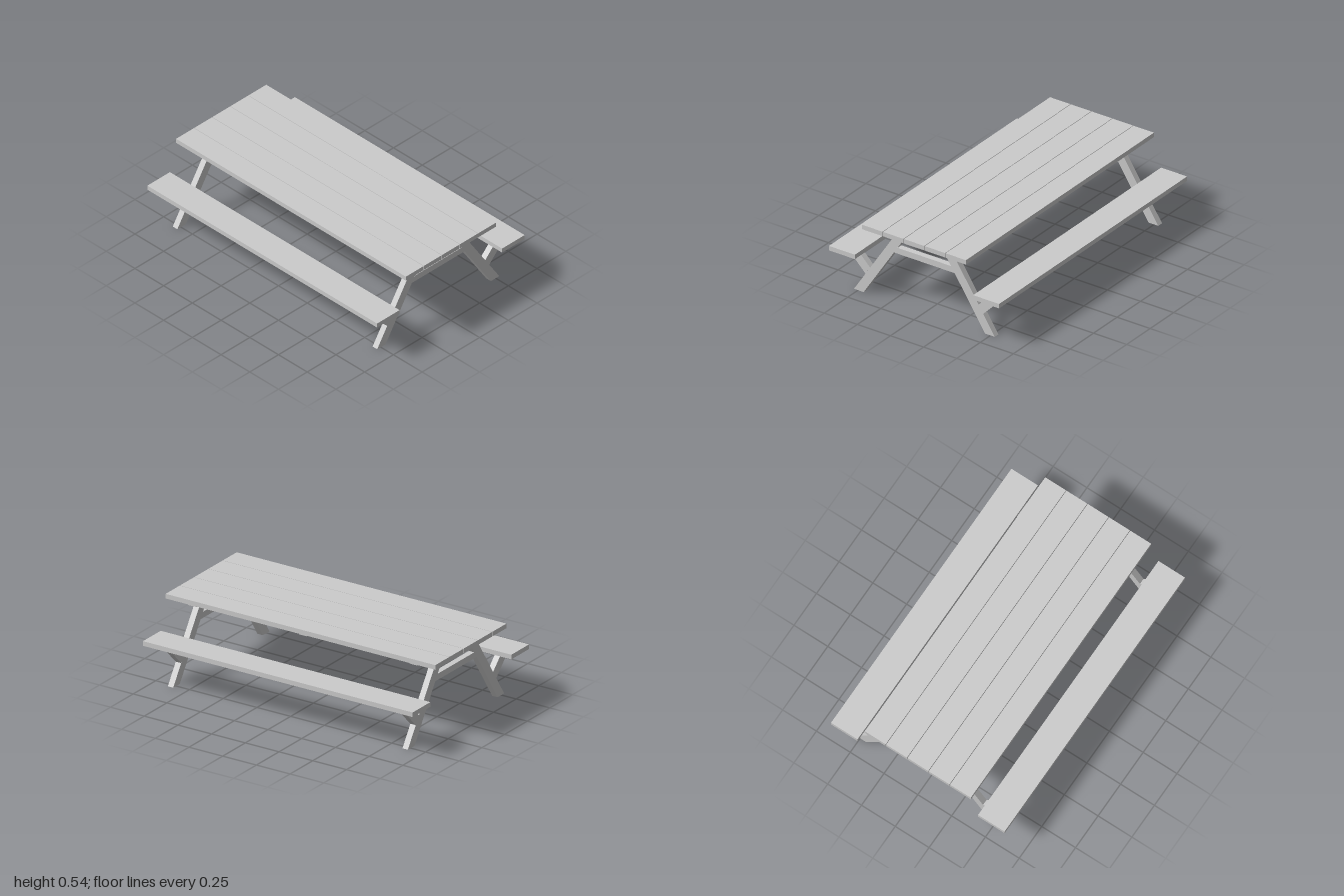
import * as THREE from 'three';

const material = new THREE.MeshStandardMaterial({ color: 0xcccccc, flatShading: true });

export function createModel() {
  const table = new THREE.Group();
  table.name = 'picnicTable';

  // Box board given by its extents
  function board(name, x0, x1, y0, y1, z0, z1, parent = table) {
    const mesh = new THREE.Mesh(new THREE.BoxGeometry(x1 - x0, y1 - y0, z1 - z0), material);
    mesh.position.set((x0 + x1) / 2, (y0 + y1) / 2, (z0 + z1) / 2);
    mesh.name = name;
    parent.add(mesh);
  }

  // Timber cut to a side outline of [z, y] corners, thickness along x
  function timber(name, outline, thickness, parent) {
    const shape = new THREE.Shape(outline.map(([z, y]) => new THREE.Vector2(z, y)));
    const geometry = new THREE.ExtrudeGeometry(shape, { depth: thickness, bevelEnabled: false });
    geometry.translate(0, 0, -thickness / 2).rotateY(-Math.PI / 2);
    const mesh = new THREE.Mesh(geometry, material);
    mesh.name = name;
    parent.add(mesh);
  }

  // Tabletop: five planks with narrow gaps
  const plank = 0.154, pitch = 0.1575;
  for (let i = -2; i <= 2; i++) {
    board('tabletopPlank', -1, 1, 0.512, 0.543, i * pitch - plank / 2, i * pitch + plank / 2);
  }

  // Battens under the tabletop
  for (const x of [-0.82, 0, 0.82]) {
    board('batten', x - 0.03, x + 0.03, 0.495, 0.512, -0.366, 0.366);
  }

  // Bench seats
  board('frontSeat', -1, 1, 0.284, 0.315, 0.446, 0.642);
  board('backSeat', -1, 1, 0.284, 0.315, -0.642, -0.446);

  // End frames: slanted legs, seat braces and a cross bar
  const leg = [[0.531, 0], [0.197, 0.512], [0.124, 0.512], [0.458, 0]];
  const brace = [[0.593, 0.284], [0.505, 0.284], [0.409, 0.187], [0.444, 0.134]];
  const crossBar = [[-0.202, 0.392], [0.202, 0.392], [0.229, 0.351], [-0.229, 0.351]];
  for (const x of [-0.87, 0.87]) {
    const frame = new THREE.Group();
    frame.name = x > 0 ? 'leftEndFrame' : 'rightEndFrame';
    frame.position.x = x;
    for (const side of [1, -1]) {
      const mirrored = (outline) => outline.map(([z, y]) => [z * side, y]);
      const end = side > 0 ? 'front' : 'back';
      timber(end + 'Leg', mirrored(leg), 0.04, frame);
      timber(end + 'SeatBrace', mirrored(brace), 0.04, frame);
    }
    timber('crossBar', crossBar, 0.04, frame);
    table.add(frame);
  }

  return table;
}
